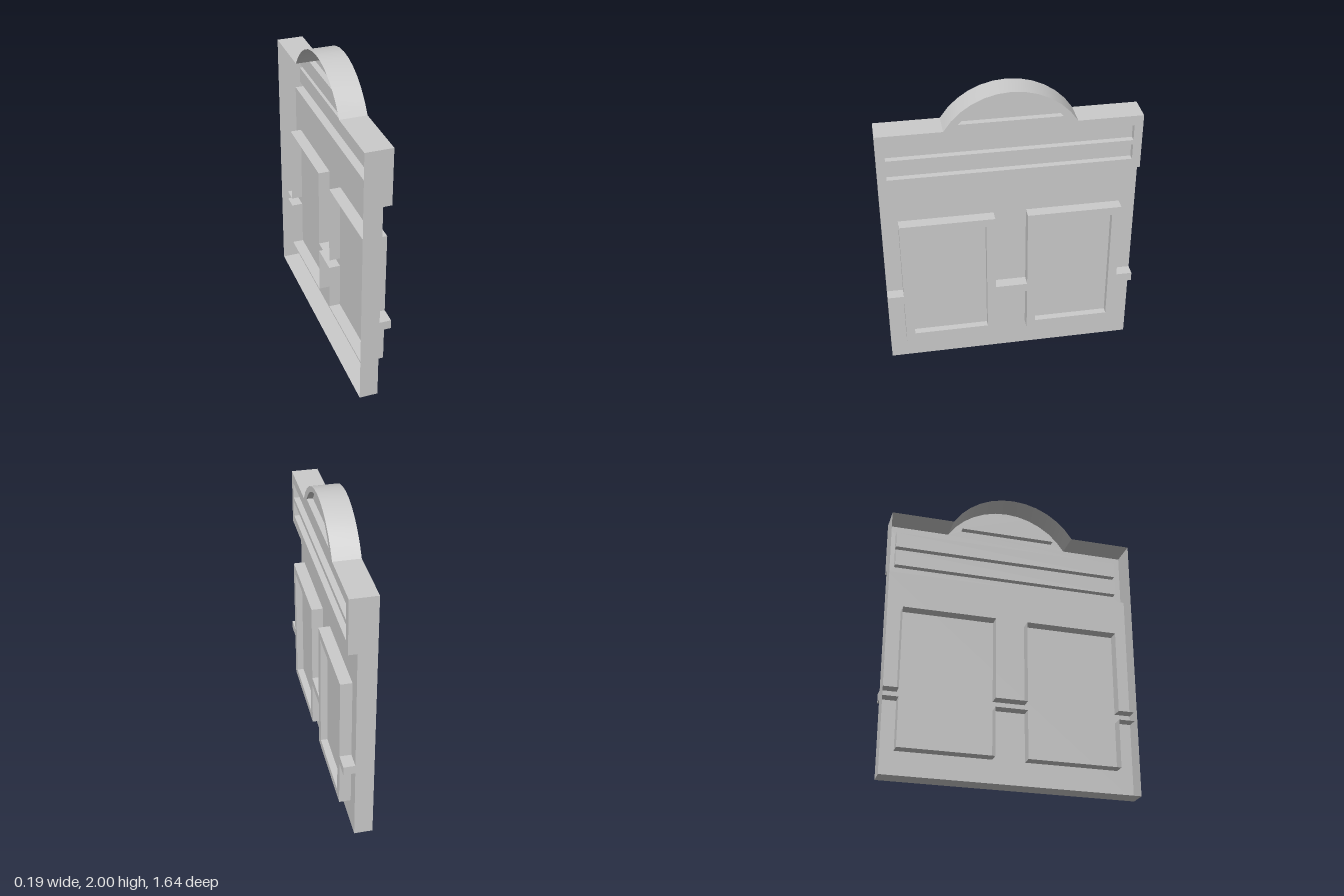
import * as THREE from 'three';
import { toCreasedNormals } from 'three/addons/utils/BufferGeometryUtils.js';

const material = new THREE.MeshStandardMaterial({ color: 0xcccccc, side: THREE.DoubleSide });

const rect = (u0, v0, u1, v1) => [[u0, v0], [u1, v0], [u1, v1], [u0, v1]];

// Points of an arc over a chord at height v0, from +half to -half
function arc(half, v0, rise, segments) {
  const r = (half * half + rise * rise) / (2 * rise);
  const a = Math.asin(half / r);
  return Array.from({ length: segments + 1 }, (_, i) => {
    const t = a - (2 * a * i) / segments;
    return [r * Math.sin(t), v0 + rise - r + r * Math.cos(t)];
  });
}

// Flat face at a given depth, with optional holes
function sheet(outline, depth, holes = []) {
  const toVectors = (pts) => pts.map(([u, v]) => new THREE.Vector2(u, v));
  const shape = new THREE.Shape(toVectors(outline));
  holes.forEach((h) => shape.holes.push(new THREE.Path(toVectors(h))));
  return new THREE.ShapeGeometry(shape).translate(0, 0, depth);
}

// Band of walls following an outline between two depths
function rim(outline, d0, d1, closed = true) {
  const pos = [];
  const n = closed ? outline.length : outline.length - 1;
  for (let i = 0; i < n; i++) {
    const [a, b] = outline[i];
    const [c, d] = outline[(i + 1) % outline.length];
    pos.push(a, b, d0, c, d, d0, c, d, d1, a, b, d0, c, d, d1, a, b, d1);
  }
  const g = new THREE.BufferGeometry();
  g.setAttribute('position', new THREE.Float32BufferAttribute(pos, 3));
  return toCreasedNormals(g, 0.4);
}

export function createModel() {
  const model = new THREE.Group();
  model.name = 'facade';
  // Drawn facing forward, then turned to face +x
  const front = new THREE.Group();
  front.name = 'facadeBody';
  front.rotation.y = Math.PI / 2;
  model.add(front);

  const add = (name, geometry) => {
    const mesh = new THREE.Mesh(geometry, material);
    mesh.name = name;
    front.add(mesh);
  };
  const addPocket = (name, outline, back, face) => {
    add(name + 'Sides', rim(outline, back, face));
    add(name + 'Panel', sheet(outline, back));
  };

  const W = 0.82, BACK = -0.1, WALL = 0.02, HEAD = 0.075, TRIM = 0.095;

  // Lower wall, an open-backed shell
  add('wall', sheet(rect(-W, 0, W, 1.4), WALL));
  add('wallSides', rim([[-W, 1.4], [-W, 0], [W, 0], [W, 1.4]], BACK, WALL, false));

  // Upper sign block with arched crown
  const head = [[-W, 1.4], [W, 1.4], [W, 1.77], ...arc(0.41, 1.77, 0.23, 12), [-W, 1.77]];
  const slots = [rect(-0.765, 1.6, 0.765, 1.705), rect(-0.765, 1.465, 0.765, 1.57)];
  const lunette = arc(0.32, 1.81, 0.16, 12);
  add('header', sheet(head, HEAD, [...slots, lunette]));
  add('headerSides', rim([...head.slice(1), head[0]], BACK, HEAD, false));
  add('headerLedge', rim(head.slice(0, 2), WALL, HEAD, false));
  slots.forEach((s) => addPocket('slot', s, 0.035, HEAD));
  addPocket('lunette', lunette, 0.035, HEAD);

  // Window frames joined by a horizontal band, open behind
  const half = [
    [0.105, 0.51], [0.105, 0.19], [0.715, 0.19], [0.715, 0.51], [W, 0.51],
    [W, 0.57], [0.715, 0.57], [0.715, 1.12], [0.105, 1.12], [0.105, 0.57],
  ];
  const trim = [...half, ...half.map(([u, v]) => [-u, v]).reverse()];
  const windows = [-1, 1].map((s) => rect(s * 0.41 - 0.247, 0.245, s * 0.41 + 0.247, 1.065));
  add('windowTrim', sheet(trim, TRIM, windows));
  add('windowTrimSides', rim(trim, -0.055, TRIM));
  windows.forEach((w) => addPocket('window', w, 0.05, TRIM));

  return model;
}
